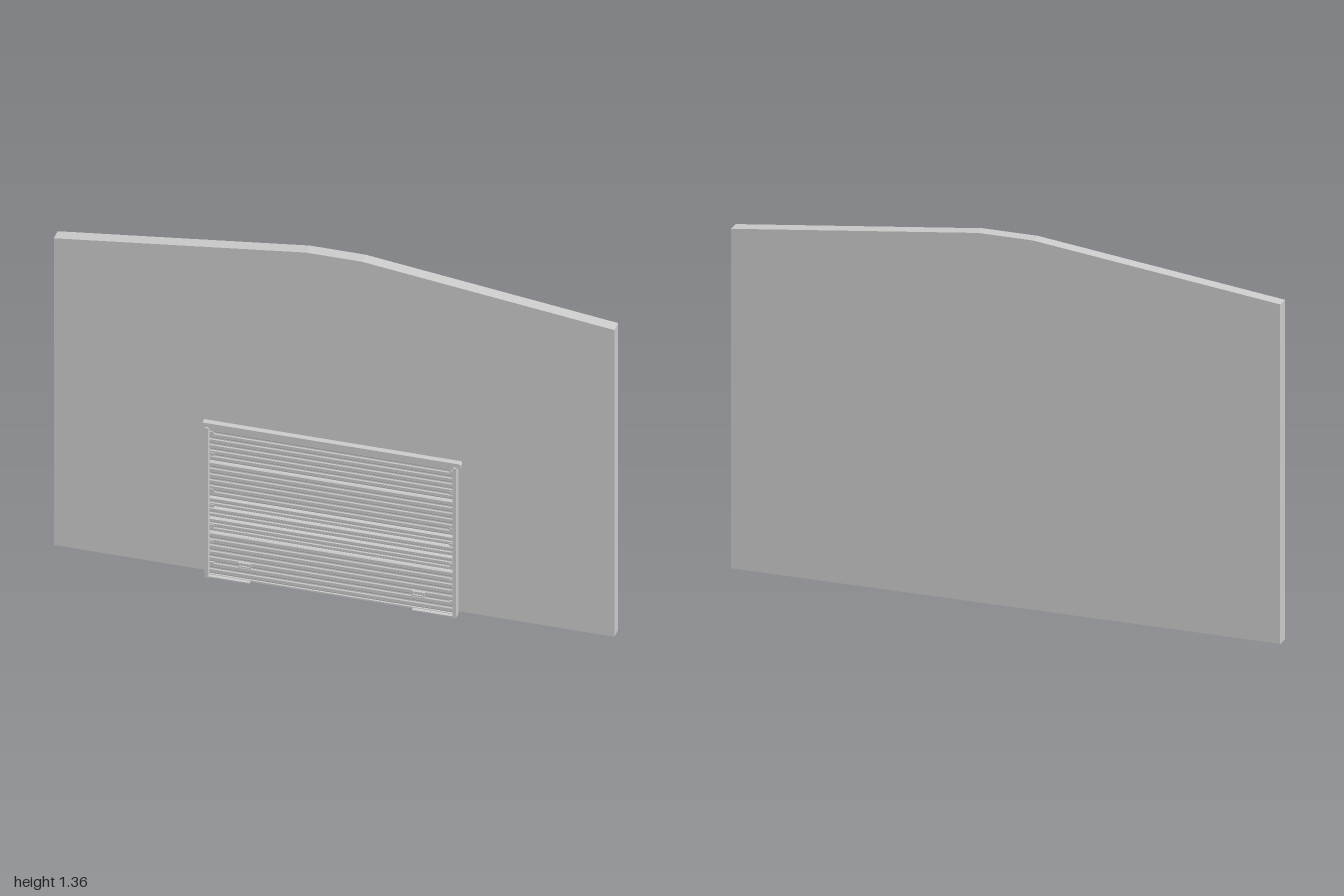
import * as THREE from 'three';

const material = new THREE.MeshStandardMaterial({ color: 0xcccccc, flatShading: true });

function add(parent, name, geometry, x = 0, y = 0, z = 0) {
  const mesh = new THREE.Mesh(geometry, material);
  mesh.name = name;
  mesh.position.set(x, y, z);
  parent.add(mesh);
  return mesh;
}

// Box given by its limits on each axis
function box(parent, name, [x0, x1], [y0, y1], [z0, z1]) {
  return add(parent, name, new THREE.BoxGeometry(x1 - x0, y1 - y0, z1 - z0),
    (x0 + x1) / 2, (y0 + y1) / 2, (z0 + z1) / 2);
}

// Extrude a (z, y) profile along x, centred
function extrudeAcross(points, width) {
  const shape = new THREE.Shape(points.map(([z, y]) => new THREE.Vector2(z, y)));
  const geometry = new THREE.ExtrudeGeometry(shape, { depth: width, bevelEnabled: false });
  geometry.translate(0, 0, -width / 2);
  return geometry.rotateY(-Math.PI / 2);
}

// Door section: flat back, shallow ribs on the front, chamfered joints
function sectionGeometry(y0, y1, ribs) {
  const back = 0.016, low = 0.024, high = 0.027;
  const points = [[back, y0], [low - 0.003, y0]];
  const pitch = (y1 - y0) / ribs;
  for (let i = 0; i < ribs; i++) {
    const y = y0 + i * pitch;
    points.push([low, y + pitch * 0.1], [high, y + pitch * 0.25],
      [high, y + pitch * 0.75], [low, y + pitch * 0.9]);
  }
  points.push([low - 0.003, y1], [back, y1]);
  return extrudeAcross(points, 0.876);
}

export function createModel() {
  const model = new THREE.Group();
  model.name = 'garageFront';

  // Gabled wall with a flat ridge
  const outline = [[-1, 0], [1, 0], [1, 1.25], [0.1, 1.36], [-0.1, 1.36], [-1, 1.25]];
  const wallShape = new THREE.Shape(outline.map(([x, y]) => new THREE.Vector2(x, y)));
  const wallGeometry = new THREE.ExtrudeGeometry(wallShape, { depth: 0.046, bevelEnabled: false });
  add(model, 'wall', wallGeometry, 0, 0, -0.046);

  const door = new THREE.Group();
  door.name = 'sectionalDoor';
  model.add(door);

  // Ribbed door sections, separated by narrow joints
  const joints = [0.004, 0.178, 0.236, 0.279, 0.32, 0.465, 0.607];
  const ribs = [7, 3, 2, 2, 6, 6];
  ribs.forEach((count, i) =>
    add(door, 'doorSection', sectionGeometry(joints[i] + 0.002, joints[i + 1] - 0.002, count)));
  box(door, 'bottomSeal', [-0.438, 0.438], [0, 0.006], [0.016, 0.028]);

  // Header over the opening, with a rounded outline
  const header = new THREE.Shape();
  header.moveTo(-0.462, 0.607);
  header.lineTo(0.462, 0.607);
  header.lineTo(0.462, 0.621);
  header.lineTo(0.458, 0.625);
  header.lineTo(-0.458, 0.625);
  header.lineTo(-0.462, 0.621);
  add(door, 'header', new THREE.ExtrudeGeometry(header, { depth: 0.022, bevelEnabled: false }), 0, 0, 0.017);

  for (const side of [-1, 1]) {
    const span = (a, b) => (side > 0 ? [a, b] : [-b, -a]);

    // Side jamb
    box(door, 'jamb', span(0.436, 0.448), [0, 0.609], [0.015, 0.046]);

    // Hinge clips passing through the door
    for (const y of [0.05, 0.137, 0.202, 0.285, 0.347, 0.43, 0.495, 0.58]) {
      box(door, 'hingeClip', span(0.42, 0.436), [y - 0.006, y + 0.006], [0.012, 0.03]);
    }

    // Threshold plate at the foot of the jamb
    box(door, 'thresholdPlate', span(0.29, 0.438), [0, 0.004], [0.026, 0.042]);

    // Lift handle: rectangular frame with a recessed opening
    const x0 = 0.287, x1 = 0.333;
    box(door, 'handleTop', span(x0, x1), [0.069, 0.074], [0.025, 0.034]);
    box(door, 'handleBottom', span(x0, x1), [0.055, 0.06], [0.025, 0.034]);
    box(door, 'handleEnd', span(x0, x0 + 0.005), [0.06, 0.069], [0.025, 0.034]);
    box(door, 'handleEnd', span(x1 - 0.005, x1), [0.06, 0.069], [0.025, 0.034]);
    box(door, 'handlePlate', span(x0 + 0.005, x1 - 0.005), [0.06, 0.069], [0.025, 0.029]);
  }

  return model;
}
